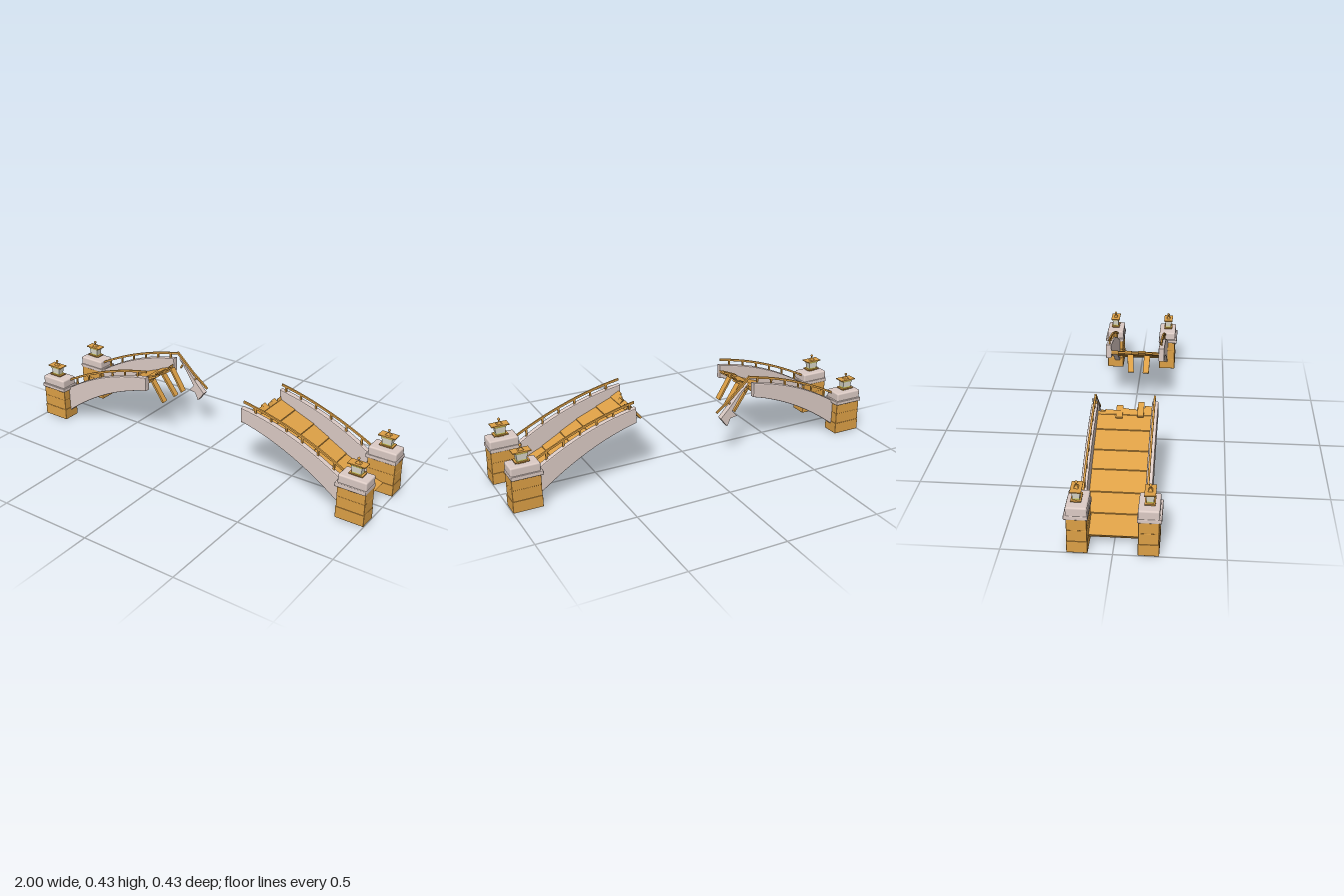
import * as THREE from 'three';
import { RoundedBoxGeometry } from 'three/addons/geometries/RoundedBoxGeometry.js';

export function createModel() {
  const mat = (name, color) => {
    const m = new THREE.MeshStandardMaterial({ color });
    m.name = name;
    return m;
  };
  const wood = mat('ochre', 0xdda046);
  const stone = mat('pale stone', 0xdccbc5);
  const glass = mat('lamp glass', 0xdfdcce);
  const glow = mat('lamp yellow', 0xcdc45a);

  const root = new THREE.Group();
  root.name = 'brokenBridge';
  const add = (parent, name, geo, material, x = 0, y = 0, z = 0) => {
    const m = new THREE.Mesh(geo, material);
    m.name = name;
    m.position.set(x, y, z);
    parent.add(m);
    return m;
  };
  // side profile [x, y] given a width across z
  const slab = (parent, name, pts, z0, z1, material, bevel = 0) => {
    const shape = new THREE.Shape(pts.map(p => new THREE.Vector2(p[0], p[1])));
    const geo = new THREE.ExtrudeGeometry(shape, {
      depth: z1 - z0 - 2 * bevel, bevelEnabled: bevel > 0, bevelSize: bevel,
      bevelThickness: bevel, bevelOffset: -bevel, bevelSegments: 2
    });
    return add(parent, name, geo, material, 0, 0, z0 + bevel);
  };
  // band between two height curves, on side s, from x0 out to x1
  const band = (parent, name, s, x0, x1, low, high, z0, z1, material, bevel) => {
    const pts = [], n = 14;
    for (let i = 0; i <= n; i++) { const x = x0 + (x1 - x0) * i / n; pts.push([s * x, low(x)]); }
    for (let i = n; i >= 0; i--) { const x = x0 + (x1 - x0) * i / n; pts.push([s * x, high(x)]); }
    return slab(parent, name, pts, z0, z1, material, bevel);
  };
  // straight board from a to b in the side plane
  const board = (parent, name, a, b, t, z0, z1, material) => {
    const dx = b[0] - a[0], dy = b[1] - a[1], l = Math.hypot(dx, dy);
    const nx = dy / l * t, ny = -dx / l * t;
    return slab(parent, name, [a, b, [b[0] + nx, b[1] + ny], [a[0] + nx, a[1] + ny]], z0, z1, material);
  };

  const arch = (y0, k, power) => x => y0 - k * Math.pow(x, power);
  const beamLow = arch(0.3455, 0.431, 2.2), beamHigh = arch(0.409, 0.335, 2.4);
  const railHigh = arch(0.449, 0.304, 2.1), railLow = arch(0.437, 0.304, 2.1);

  // lantern on each pillar
  const lantern = (parent, x, z) => {
    const g = new THREE.Group();
    g.name = 'lantern';
    g.position.set(x, 0.235, z);
    parent.add(g);
    const frustum = (name, top, bottom, h, y, m) => {
      const geo = new THREE.CylinderGeometry(top * Math.SQRT1_2, bottom * Math.SQRT1_2, h, 4, 1).toNonIndexed();
      geo.rotateY(Math.PI / 4);
      geo.scale(1.5, 1, 1);
      geo.computeVertexNormals();
      return add(g, name, geo, m, 0, y, 0);
    };
    add(g, 'lampFoot', new THREE.BoxGeometry(0.04, 0.01, 0.024), wood, 0, 0.005, 0);
    add(g, 'lampBase', new THREE.BoxGeometry(0.072, 0.006, 0.047), wood, 0, 0.012, 0);
    frustum('lampBottomBand', 0.032, 0.034, 0.006, 0.018, glow);
    frustum('lampGlass', 0.037, 0.032, 0.03, 0.036, glass);
    frustum('lampTopBand', 0.043, 0.037, 0.009, 0.0555, glow);
    add(g, 'lampRoof', new THREE.BoxGeometry(0.09, 0.005, 0.05), wood, 0, 0.0625, 0);
    frustum('lampRoofPeak', 0.006, 0.02, 0.012, 0.071, wood);
    add(g, 'finial', new THREE.SphereGeometry(0.007, 10, 8), wood, 0, 0.09, 0);
    add(g, 'finialStem', new THREE.CylinderGeometry(0.003, 0.003, 0.012, 8), wood, 0, 0.081, 0);
  };

  // pillar of three blocks with a stepped cap
  const pillar = (s, f) => {
    const g = new THREE.Group();
    g.name = 'pillar';
    root.add(g);
    const x = s * 0.924, z = f * 0.157;
    [[0.15, 0.094, 0, 0.061], [0.147, 0.091, 0.059, 0.119], [0.147, 0.091, 0.117, 0.178]].forEach(([w, d, a, b]) =>
      add(g, 'pillarBlock', new RoundedBoxGeometry(w, b - a, d, 1, 0.003), wood, x, (a + b) / 2, z));
    add(g, 'capLedge', new RoundedBoxGeometry(0.16, 0.021, 0.108, 1, 0.004), stone, s * 0.92, 0.1835, f * 0.16);
    add(g, 'capTop', new RoundedBoxGeometry(0.148, 0.052, 0.095, 3, 0.008), stone, x, 0.21, z);
    lantern(g, s * 0.929, f * 0.16);
  };

  // arched beam with its railing
  const sideBeam = (s, f, end, railEnd) => {
    const zs = (a, b) => f > 0 ? [a, b] : [-b, -a];
    band(root, 'archBeam', s, end, 0.87, beamLow, beamHigh, ...zs(0.13, 0.161), stone, 0.005);
    band(root, 'handrail', s, railEnd, 0.86, railLow, railHigh, ...zs(0.138, 0.148), wood, 0.002);
    for (let i = 0; i < 6; i++) {
      const x = 0.365 + i * 0.087, low = beamHigh(x) - 0.008, high = railLow(x) + 0.003;
      add(root, 'railPost', new THREE.BoxGeometry(0.009, high - low, 0.008), wood, s * x, (low + high) / 2, f * 0.143);
    }
  };

  // deck of overlapping planks, ragged at the broken end
  const steps = [[0.945, 0.06], [0.83, 0.095], [0.73, 0.142], [0.63, 0.2], [0.54, 0.25], [0.43, 0.297], [0.345, 0.334]];
  const ragged = [0.3, 0.312, 0.328, 0.318, 0.335, 0.328, 0.342];
  const deck = s => {
    for (let i = 0; i < steps.length - 1; i++) {
      const [xa, ya] = steps[i], [xb, yb] = steps[i + 1], outer = i === 0;
      const w = outer ? 0.112 : 0.132, lift = outer ? 0 : 0.004;
      slab(root, 'deckPlank', [[s * (xa - 0.001), ya + lift], [s * (xb + 0.001), yb], [s * (xb + 0.001), yb - 0.011],
        outer ? [s * 0.92, 0.033] : [s * (xa - 0.001), ya - 0.009]], -w, w, wood);
    }
    ragged.forEach((x, i) => {
      const z = 0.132 - i * 0.0377, y = 0.362 - i * 0.002;
      slab(root, 'splinteredPlank', [[s * 0.347, 0.337], [s * x, y], [s * x, y - 0.012], [s * 0.347, 0.322]],
        z - 0.0377, z, wood);
    });
  };

  for (const s of [-1, 1]) {
    for (const f of [-1, 1]) pillar(s, f);
    deck(s);
  }
  sideBeam(-1, 1, 0.3, 0.305);
  sideBeam(-1, -1, 0.335, 0.31);
  sideBeam(1, 1, 0.29, 0.295);
  sideBeam(1, -1, 0.335, 0.34);

  // planks hanging from the broken ends: start, end, z, turn
  const hanging = [
    [[-0.322, 0.345], [-0.245, 0.227], -0.102, -0.05], [[-0.322, 0.345], [-0.243, 0.23], -0.024, 0.08],
    [[-0.322, 0.345], [-0.248, 0.23], 0.068, 0.06],
    [[0.32, 0.335], [0.257, 0.26], -0.024, 0.1], [[0.315, 0.335], [0.247, 0.262], 0.068, -0.05]
  ];
  for (const [a, b, z, turn] of hanging) {
    const plank = new THREE.Group();
    plank.name = 'hangingPlank';
    plank.position.set(a[0], a[1], z);
    plank.rotation.y = turn;
    root.add(plank);
    board(plank, 'plank', [0, 0], [b[0] - a[0], b[1] - a[1]], 0.011, -0.016, 0.016, wood);
  }
  board(root, 'loosePlank', [-0.37, 0.345], [-0.29, 0.378], 0.011, 0.062, 0.092, wood);
  board(root, 'loosePlank', [-0.37, 0.335], [-0.3, 0.362], 0.01, -0.042, -0.01, wood);

  // collapsed piece of beam and rail
  slab(root, 'fallenBeamShard', [[-0.3, 0.392], [-0.25, 0.348], [-0.19, 0.278], [-0.14, 0.226], [-0.178, 0.176],
    [-0.198, 0.218], [-0.235, 0.224], [-0.207, 0.256], [-0.25, 0.325]], -0.163, -0.134, stone);
  board(root, 'fallenRail', [-0.315, 0.427], [-0.2, 0.32], 0.011, -0.149, -0.139, wood);
  board(root, 'fallenRail', [-0.205, 0.325], [-0.12, 0.26], 0.01, -0.15, -0.14, wood);
  for (const [x, y] of [[-0.27, 0.377], [-0.19, 0.305]])
    board(root, 'fallenPost', [x, y], [x - 0.025, y - 0.045], 0.008, -0.148, -0.14, wood);

  return root;
}
